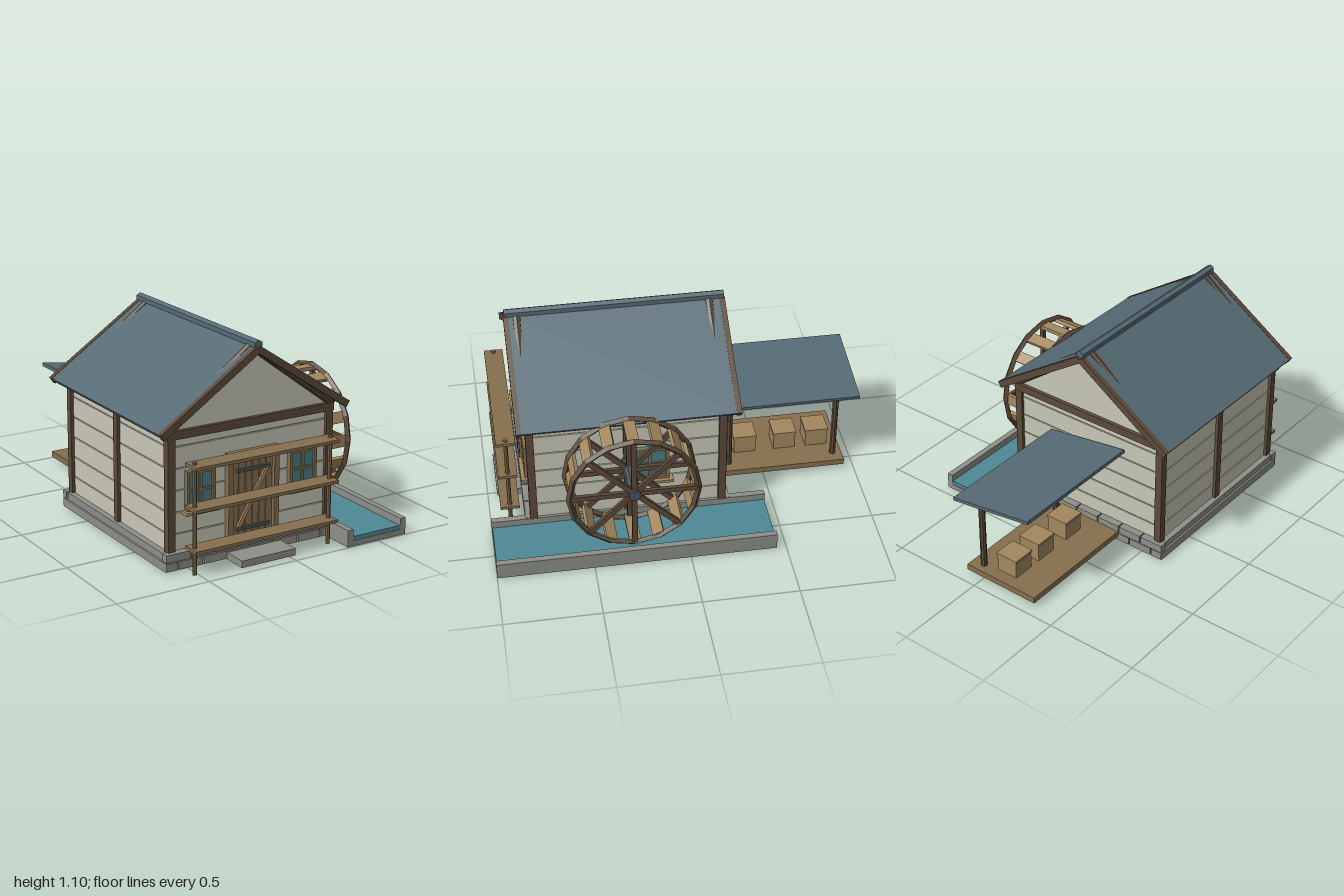
import * as THREE from 'three';

const mat = (color) => new THREE.MeshStandardMaterial({ color, flatShading: true });
const ROOF = mat(0x566b75), WALL = mat(0xc9c8b8), STONE = mat(0x8d8f88), DARK = mat(0x5c4a3a);
const MID = mat(0x86704f), LIGHT = mat(0xa4885f), WATER = mat(0x4f8896), GLASS = mat(0x4a7f86), METAL = mat(0x4a545b);
const CX = -0.13, CZ = 0.28; // centre of the house

function add(parent, name, geometry, material) {
  const mesh = new THREE.Mesh(geometry, material);
  mesh.name = name;
  parent.add(mesh);
  return mesh;
}

// box given by its extents on each axis
function box(parent, name, material, x0, x1, y0, y1, z0, z1) {
  const mesh = add(parent, name, new THREE.BoxGeometry(x1 - x0, y1 - y0, z1 - z0), material);
  mesh.position.set((x0 + x1) / 2, (y0 + y1) / 2, (z0 + z1) / 2);
  return mesh;
}

// round bar between two points
function rod(parent, name, material, a, b, r, sides = 8) {
  const p = new THREE.Vector3(...a), q = new THREE.Vector3(...b);
  const mesh = add(parent, name, new THREE.CylinderGeometry(r, r, p.distanceTo(q), sides), material);
  mesh.position.copy(p).lerp(q, 0.5);
  mesh.quaternion.setFromUnitVectors(new THREE.Vector3(0, 1, 0), q.sub(p).normalize());
  return mesh;
}

// slab sloping in the xy plane, running from z0 to z1
function slope(parent, name, material, ax, ay, bx, by, thick, z0, z1) {
  const mesh = add(parent, name, new THREE.BoxGeometry(Math.hypot(bx - ax, by - ay), thick, z1 - z0), material);
  mesh.position.set((ax + bx) / 2, (ay + by) / 2, (z0 + z1) / 2);
  mesh.rotation.z = Math.atan2(by - ay, bx - ax);
  return mesh;
}

function group(parent, name) {
  const g = new THREE.Group();
  g.name = name;
  parent.add(g);
  return g;
}

// four-pane window facing +z, centred on its own origin
function makeWindow(parent, name) {
  const g = group(parent, name), w = 0.08, h = 0.1, t = 0.016;
  box(g, 'glass', GLASS, -w, w, -h, h, -0.01, 0.012);
  for (const s of [-1, 1]) {
    box(g, 'frameSide', MID, s * (w - t / 2) - t / 2, s * (w - t / 2) + t / 2, -h, h, 0, 0.025);
    box(g, 'frameRail', MID, -w, w, s * (h - t / 2) - t / 2, s * (h - t / 2) + t / 2, 0, 0.025);
  }
  box(g, 'mullion', MID, -0.007, 0.007, -h, h, 0, 0.021);
  box(g, 'crossbar', MID, -w, w, -0.006, 0.006, 0, 0.021);
  box(g, 'sill', LIGHT, -w - 0.015, w + 0.015, -h - 0.016, -h, -0.01, 0.045);
  return g;
}

function makeFoundation(m) {
  const g = group(m, 'foundation');
  box(g, 'baseSlab', STONE, -0.62, 0.34, 0.005, 0.088, -0.24, 0.8);
  box(g, 'sideLedge', STONE, -0.63, -0.6, 0.005, 0.05, -0.25, 0.81);
  // two staggered courses of stones, front and back
  for (const z of [0.8, -0.24]) for (let row = 0; row < 2; row++) {
    for (let i = 0; i < 8; i++) {
      const x0 = Math.max(-0.628, -0.628 + i * 0.139 - (row ? 0 : 0.07)), x1 = Math.min(0.345, -0.628 + (i + 1) * 0.139 - (row ? 0 : 0.07) - 0.007);
      if (x1 - x0 > 0.02) box(g, 'stone', STONE, x0, x1, row ? 0.054 : 0.008, row ? 0.094 : 0.049, z - 0.02, z + 0.02);
    }
  }
  box(g, 'doorStep', STONE, -0.285, 0.03, 0.004, 0.04, 0.8, 0.95);
}

function makeWalls(m) {
  const g = group(m, 'walls');
  box(g, 'wallCore', WALL, -0.58, 0.32, 0.085, 0.69, -0.212, 0.772);
  // horizontal boards on all four sides
  for (let i = 0; i < 6; i++) {
    const y0 = Math.max(0.088, 0.07 + i * 0.11), y1 = Math.min(0.69, 0.174 + i * 0.11);
    box(g, 'boardLong', WALL, -0.588, 0.328, y0, y1, -0.205, 0.765);
    box(g, 'boardCross', WALL, -0.575, 0.315, y0, y1, -0.22, 0.78);
  }
  for (const x of [-0.585, 0.328]) {
    for (const z of [-0.217, CZ, 0.777]) box(g, 'post', DARK, x - 0.02, x + 0.02, 0.09, 0.69, z - 0.02, z + 0.02);
    box(g, 'sidePlate', DARK, x - 0.018, x + 0.018, 0.66, 0.695, -0.235, 0.795);
  }
  // gable ends with tie beam and sloping trim
  const tri = new THREE.Shape([new THREE.Vector2(-0.46, 0.69), new THREE.Vector2(0.46, 0.69), new THREE.Vector2(0, 1.045)]);
  for (const z of [0.772, -0.212]) {
    add(g, 'gable', new THREE.ExtrudeGeometry(tri, { depth: 0.02, bevelEnabled: false }), WALL).position.set(CX, 0, z - 0.01);
    const zb = z > 0 ? 0.777 : -0.217;
    box(g, 'tieBeam', DARK, -0.61, 0.348, 0.66, 0.702, zb - 0.025, zb + 0.025);
    for (const s of [-1, 1]) rod(g, 'gableTrim', DARK, [CX + s * 0.47, 0.705, zb], [CX, 1.055, zb], 0.024);
  }
}

function makeRoof(m) {
  const g = group(m, 'roof');
  for (const s of [-1, 1]) {
    slope(g, 'roofSlab', ROOF, CX, 1.056, CX + s * 0.535, 0.7, 0.022, -0.28, 0.82);
    for (const z of [-0.3, 0.818]) slope(g, 'bargeBoard', DARK, CX, 1.05, CX + s * 0.533, 0.695, 0.036, z, z + 0.027);
  }
  rod(g, 'ridgeCap', ROOF, [CX, 1.072, -0.295], [CX, 1.072, 0.84], 0.024, 6);
}

function makeDoor(m) {
  const g = group(m, 'door');
  box(g, 'doorHeader', MID, -0.275, 0.018, 0.503, 0.54, 0.77, 0.815);
  box(g, 'doorJamb', MID, -0.275, -0.247, 0.065, 0.505, 0.77, 0.815);
  box(g, 'doorJamb', MID, -0.01, 0.018, 0.065, 0.505, 0.77, 0.815);
  box(g, 'doorBack', DARK, -0.25, -0.008, 0.07, 0.505, 0.77, 0.79);
  for (let i = 0; i < 6; i++) box(g, 'doorPlank', MID, -0.247 + i * 0.0395, -0.212 + i * 0.0395, 0.075, 0.503, 0.78, 0.8);
  for (const y of [0.145, 0.445]) box(g, 'hinge', METAL, -0.225, -0.035, y - 0.008, y + 0.008, 0.8, 0.815);
  const brace = slope(g, 'brace', LIGHT, -0.215, 0.15, -0.04, 0.45, 0.02, 0.798, 0.812);
  brace.name = 'diagonalBrace';
  add(g, 'knob', new THREE.SphereGeometry(0.012, 8, 6), METAL).position.set(-0.06, 0.295, 0.81);
}

function makeRailing(m) {
  const g = group(m, 'railing');
  for (const x of [-0.517, 0.262]) rod(g, 'railPost', MID, [x, 0, 0.895], [x, 0.57, 0.895], 0.011);
  for (const y of [0.13, 0.338, 0.55]) box(g, 'rail', MID, -0.54, 0.285, y - 0.008, y + 0.008, 0.845, 0.945);
}

function makeChannel(m) {
  const g = group(m, 'waterChannel');
  box(g, 'channelFloor', STONE, 0.31, 0.67, 0.003, 0.032, -0.45, 1);
  box(g, 'water', WATER, 0.34, 0.64, 0.03, 0.054, -0.447, 0.997);
  for (const x of [0.31, 0.637]) box(g, 'channelWall', STONE, x, x + 0.033, 0.003, 0.092, -0.45, 1);
}

function makeWheel(m) {
  const g = group(m, 'waterWheel');
  g.position.set(0, 0.405, CZ);
  for (const x of [0.398, 0.586]) {
    const rim = add(g, 'rim', new THREE.TorusGeometry(0.33, 0.017, 4, 16), DARK);
    rim.rotation.y = Math.PI / 2;
    rim.position.x = x;
    for (let i = 0; i < 4; i++) {
      const spoke = box(g, 'spoke', DARK, x - 0.01, x + 0.01, -0.325, 0.325, -0.014, 0.014);
      spoke.rotation.x = i * Math.PI / 4;
    }
  }
  for (let i = 0; i < 16; i++) {
    const a = i * Math.PI / 8;
    const paddle = box(g, 'paddle', LIGHT, 0.395, 0.589, -0.01, 0.01, -0.03, 0.03);
    paddle.position.set(0.492, Math.cos(a) * 0.318, Math.sin(a) * 0.318);
    paddle.rotation.x = a;
  }
  rod(g, 'axle', METAL, [0.32, 0, 0], [0.612, 0, 0], 0.032, 10);
}

function makeShelter(m) {
  const g = group(m, 'loadingShelter');
  box(g, 'platform', MID, -0.35, 0.09, 0.027, 0.06, -0.945, -0.235);
  for (const z of [-0.315, -0.895]) rod(g, 'shelterPost', DARK, [0.02, 0, z], [0.02, 0.507, z], 0.017);
  slope(g, 'shelterRoof', ROOF, -0.368, 0.565, 0.11, 0.494, 0.018, -1, -0.235);
  // crates with raised lids
  for (const z of [-0.42, -0.642, -0.82]) {
    box(g, 'crate', LIGHT, -0.18, -0.06, 0.06, 0.155, z - 0.06, z + 0.06);
    box(g, 'crateLid', LIGHT, -0.184, -0.056, 0.152, 0.166, z - 0.064, z + 0.064);
  }
}

export function createModel() {
  const m = new THREE.Group();
  m.name = 'waterMill';
  makeFoundation(m);
  makeWalls(m);
  makeRoof(m);
  makeDoor(m);
  for (const x of [-0.425, 0.168]) makeWindow(m, 'frontWindow').position.set(x, 0.39, 0.782);
  const side = makeWindow(m, 'sideWindow');
  side.position.set(0.33, 0.385, 0.163);
  side.rotation.y = Math.PI / 2;
  side.scale.x = 1.25;
  makeRailing(m);
  makeChannel(m);
  makeWheel(m);
  makeShelter(m);
  return m;
}
